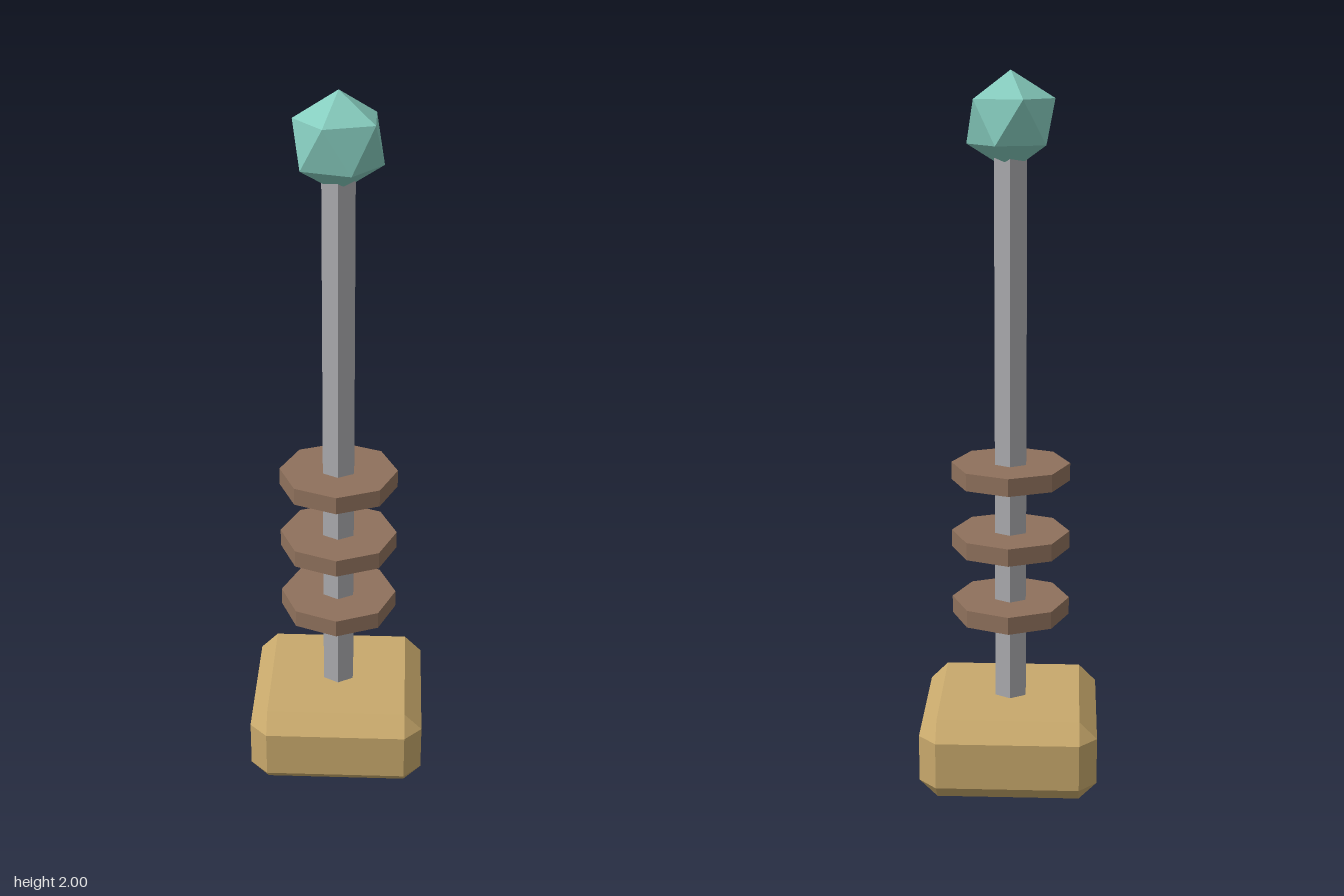
import * as THREE from 'three';
import { ConvexGeometry } from 'three/addons/geometries/ConvexGeometry.js';

const material = (name, color) => {
  const m = new THREE.MeshStandardMaterial({ color });
  m.name = name;
  return m;
};

// Box with flat chamfers on every edge and corner, standing on y = 0
function chamferedBox(width, height, depth, c) {
  const half = [width / 2, height / 2, depth / 2];
  const points = [];
  for (const sx of [-1, 1]) for (const sy of [-1, 1]) for (const sz of [-1, 1]) {
    for (let axis = 0; axis < 3; axis++) {
      const [x, y, z] = half.map((h, i) => (i === axis ? h : h - c));
      points.push(new THREE.Vector3(sx * x, sy * y + height / 2, sz * z));
    }
  }
  return new ConvexGeometry(points);
}

// Icosahedron standing on a point, its upper ring starting at -x
function uprightIcosahedron(r) {
  const points = [new THREE.Vector3(0, r, 0), new THREE.Vector3(0, -r, 0)];
  const ring = 2 * r / Math.sqrt(5), h = r / Math.sqrt(5);
  for (let i = 0; i < 5; i++) {
    const a = i * Math.PI * 2 / 5;
    const x = ring * Math.cos(a), z = ring * Math.sin(a);
    points.push(new THREE.Vector3(-x, h, z), new THREE.Vector3(x, -h, z));
  }
  return new ConvexGeometry(points);
}

export function createModel() {
  const model = new THREE.Group();
  model.name = 'gemPost';
  const sand = material('sand', 0xc8a96c);
  const steel = material('steel', 0xacacb0);
  const brown = material('brown', 0x8f715c);
  const teal = material('teal', 0x86ccbe);
  for (const m of [sand, steel, brown, teal]) m.flatShading = true;

  const add = (name, geometry, mat, y = 0) => {
    const mesh = new THREE.Mesh(geometry, mat);
    mesh.name = name;
    mesh.position.y = y;
    model.add(mesh);
  };

  // Chamfered foot block
  add('base', chamferedBox(0.5, 0.235, 0.5, 0.05), sand);

  // Six-sided pole, sunk slightly into the base and the gem
  const bottom = 0.2, top = 1.8;
  add('pole', new THREE.CylinderGeometry(0.05, 0.05, top - bottom, 6), steel, (top + bottom) / 2);

  // Three eight-sided collars
  const collar = new THREE.CylinderGeometry(0.167, 0.167, 0.05, 8);
  [0.505, 0.705, 0.905].forEach((y, i) => add('collar' + (i + 1), collar, brown, y));

  // Gem on top
  add('gem', uprightIcosahedron(0.132), teal, 1.868);

  return model;
}
